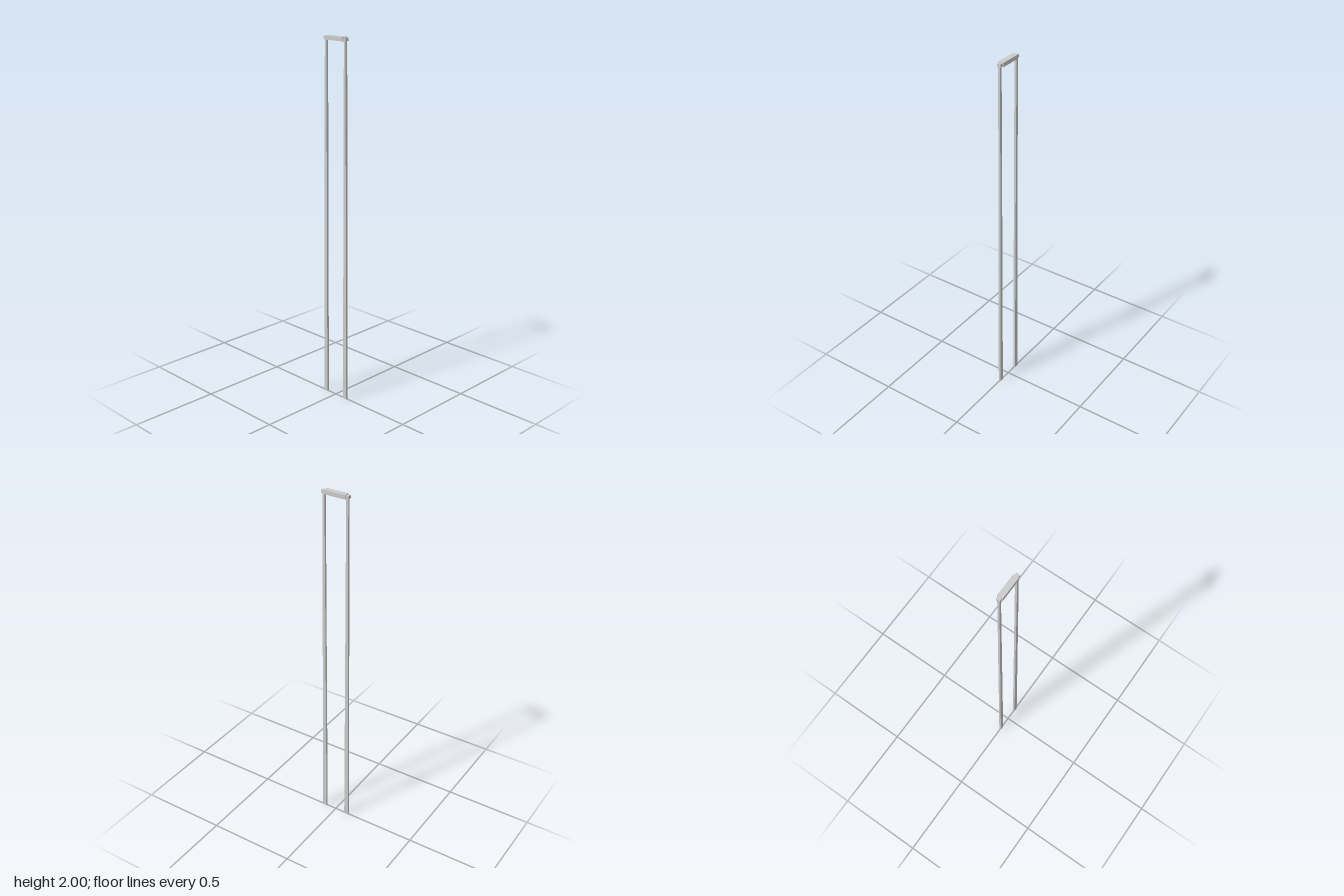
import * as THREE from 'three';

export function createModel() {
  const group = new THREE.Group();
  const material = new THREE.MeshStandardMaterial({ color: 0xcccccc, flatShading: true });

  const addBox = (name, w, h, d, x, y) => {
    const mesh = new THREE.Mesh(new THREE.BoxGeometry(w, h, d), material);
    mesh.name = name;
    mesh.position.set(x, y, 0);
    group.add(mesh);
    return mesh;
  };

  // Crossbar joining the two legs
  addBox('crossbar', 0.124, 0.022, 0.031, 0, 1.989);

  for (const side of [1, -1]) {
    const name = side > 0 ? 'left' : 'right';

    // Narrower, slightly lower block at each end of the crossbar
    addBox(name + 'EndCap', 0.018, 0.016, 0.021, side * 0.069, 1.988);

    // Long leg: inner edge straight, outer edge flaring towards the foot
    const leg = addBox(name + 'Leg', 0.025, 1.985, 0.012, side * 0.0745, 0.9925);
    const p = leg.geometry.attributes.position;
    for (let i = 0; i < p.count; i++) {
      if (p.getY(i) > 0 && p.getX(i) * side > 0) p.setX(i, side * -0.0005);
    }
    leg.geometry.computeVertexNormals();
  }
  return group;
}
